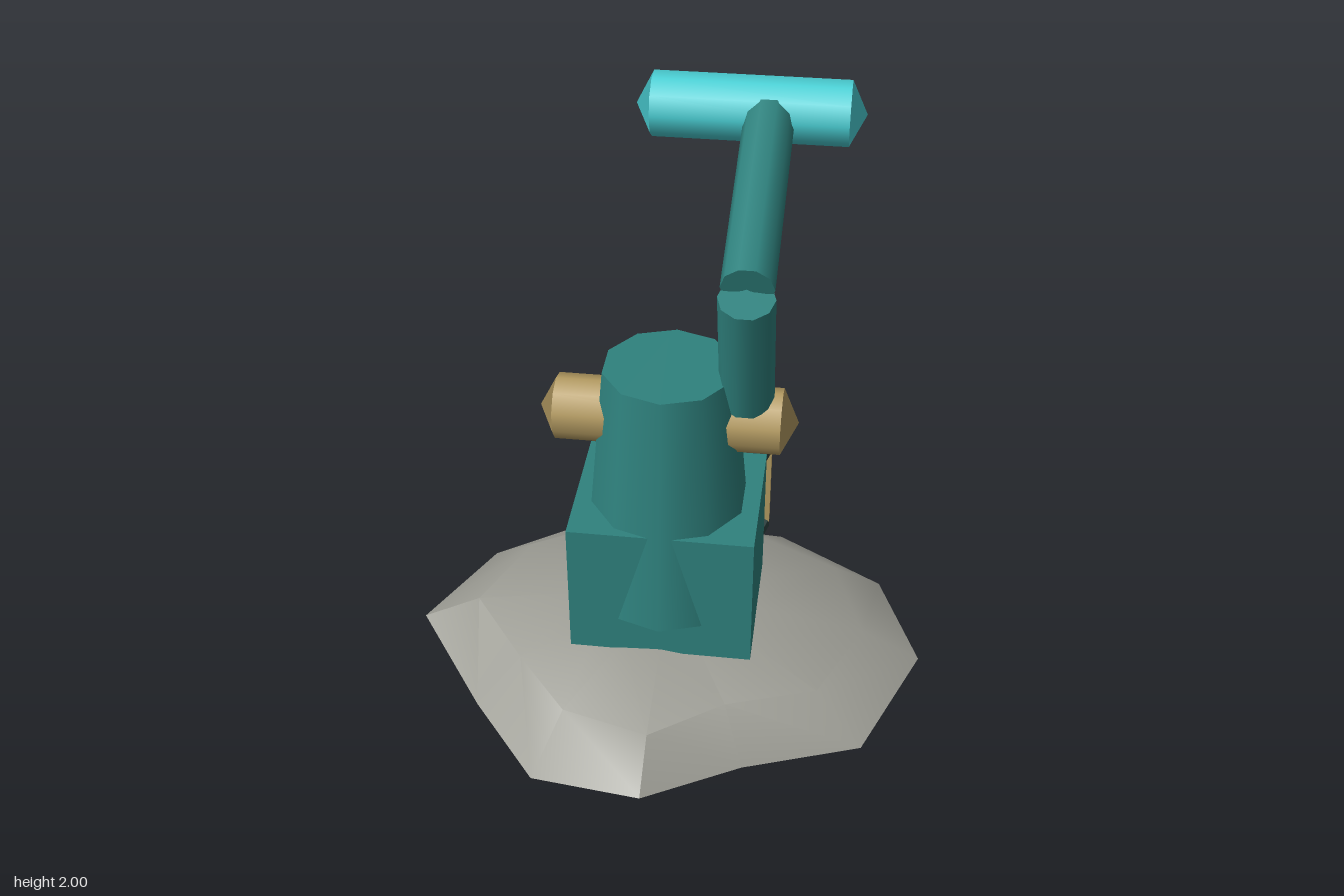
import * as THREE from 'three';
import { toCreasedNormals } from 'three/addons/utils/BufferGeometryUtils.js';

const paint = (name, color) => {
  const m = new THREE.MeshStandardMaterial({ color });
  m.name = name;
  return m;
};

export function createModel() {
  const model = new THREE.Group();
  const teal = paint('teal', 0x2f827e);
  const cyan = paint('bright cyan', 0x4bd1d6);
  const tan = paint('tan', 0xb59c62);
  const stone = paint('stone grey', 0x9d9d95);
  const dark = paint('dark slate', 0x2f4342);

  const add = (name, geo, mat, parent = model) => {
    const mesh = new THREE.Mesh(geo, mat);
    mesh.name = name;
    parent.add(mesh);
    return mesh;
  };

  // Cylinder from a to b whose cap centres are pulled out into shallow cones
  const capped = (name, mat, a, b, ra, { rb = ra, sides = 10, turn = 0, parent = model } = {}) => {
    const from = new THREE.Vector3(...a), to = new THREE.Vector3(...b);
    const dir = to.clone().sub(from), len = dir.length();
    const geo = new THREE.CylinderGeometry(rb, ra, len, sides, 1, false, turn);
    const p = geo.attributes.position;
    for (let i = 0; i < p.count; i++) {
      if (Math.hypot(p.getX(i), p.getZ(i)) < 1e-6) {
        p.setY(i, p.getY(i) > 0 ? len / 2 + rb / 2 : -len / 2 - ra / 2);
      }
    }
    const mesh = add(name, geo, mat, parent);
    mesh.position.copy(from).add(to).multiplyScalar(0.5);
    mesh.quaternion.setFromUnitVectors(new THREE.Vector3(0, 1, 0), dir.normalize());
    return mesh;
  };
  const turn = Math.PI / 2;

  // Irregular rock: twelve spokes, each with its own reach and rim height
  const reach = [0.82, 0.75, 0.576, 0.705, 0.704, 0.67, 0.83, 0.776, 0.676, 0.57, 0.66, 0.79];
  const rim = [0.265, 0.22, 0.215, 0.265, 0.2, 0.215, 0.265, 0.23, 0.26, 0.28, 0.26, 0.23];
  const rings = [[0.34, 0.43], [0.77, 0.365], [1, null], [0.78, 0.175]];
  const n = reach.length, verts = [], idx = [];
  rings.forEach(([k, y], r) => {
    for (let i = 0; i < n; i++) {
      const t = (i / n) * Math.PI * 2;
      const s = reach[i] * (r === 1 && i === 9 ? 0.95 : k);
      verts.push(s * Math.cos(t), y ?? rim[i], 0.175 + s * Math.sin(t));
    }
  });
  const top = rings.length * n, bottom = top + 1;
  verts.push(0, 0.44, 0.175, 0, 0.17, 0.175);
  for (let i = 0; i < n; i++) {
    const j = (i + 1) % n;
    idx.push(top, j, i);
    for (let r = 0; r < rings.length - 1; r++) {
      const a = r * n, b = a + n;
      idx.push(a + i, a + j, b + i, a + j, b + j, b + i);
    }
    const last = (rings.length - 1) * n;
    idx.push(bottom, last + i, last + j);
  }
  const rock = new THREE.BufferGeometry();
  rock.setAttribute('position', new THREE.Float32BufferAttribute(verts, 3));
  rock.setIndex(idx);
  add('rockBase', toCreasedNormals(rock, 0.6), stone);

  // Plinth and tapered tower
  add('plinth', new THREE.BoxGeometry(0.57, 0.46, 0.465), teal).position.set(0, 0.65, 0.178);
  capped('tower', teal, [0, 0.545, 0.178], [0, 1.35, 0.178], 0.275, { rb: 0.2 });

  // Cross axle with the crank arm and its handle
  capped('axle', tan, [-0.34, 1.18, 0.178], [0.34, 1.18, 0.178], 0.1, { turn });
  capped('lowerCrankArm', teal, [0.233, 1.265, 0.187], [0.233, 1.68, 0.31], 0.082, { turn });
  capped('upperCrankArm', teal, [0.233, 1.7, 0.293], [0.233, 1.9, -0.365], 0.077, { turn });
  capped('handle', cyan, [-0.125, 1.905, -0.418], [0.475, 1.905, -0.418], 0.1);

  // Bent pipe at the back
  capped('pipe', tan, [0, 0.84, -0.035], [0, 0.84, -0.42], 0.16, { turn });
  capped('pipeElbow', tan, [0, 0.855, -0.435], [0, 0.58, -0.618], 0.14, { turn });

  // Cage hanging from the pipe: two double-coned discs joined by bars
  const cage = new THREE.Group();
  cage.name = 'cage';
  cage.position.z = -0.607;
  model.add(cage);
  for (const [name, y] of [['cageBottom', 0.135], ['cageTop', 0.48]]) {
    capped(name, dark, [0, y, 0], [0, y + 0.035, 0], 0.272, { sides: 12, parent: cage });
  }
  for (let i = 0; i < 12; i++) {
    const t = (i / 12) * Math.PI * 2;
    const bar = add('cageBar', new THREE.BoxGeometry(0.03, 0.32, 0.03), tan, cage);
    bar.position.set(Math.sin(t) * 0.257, 0.326, Math.cos(t) * 0.257);
    bar.rotation.y = t;
  }
  return model;
}
